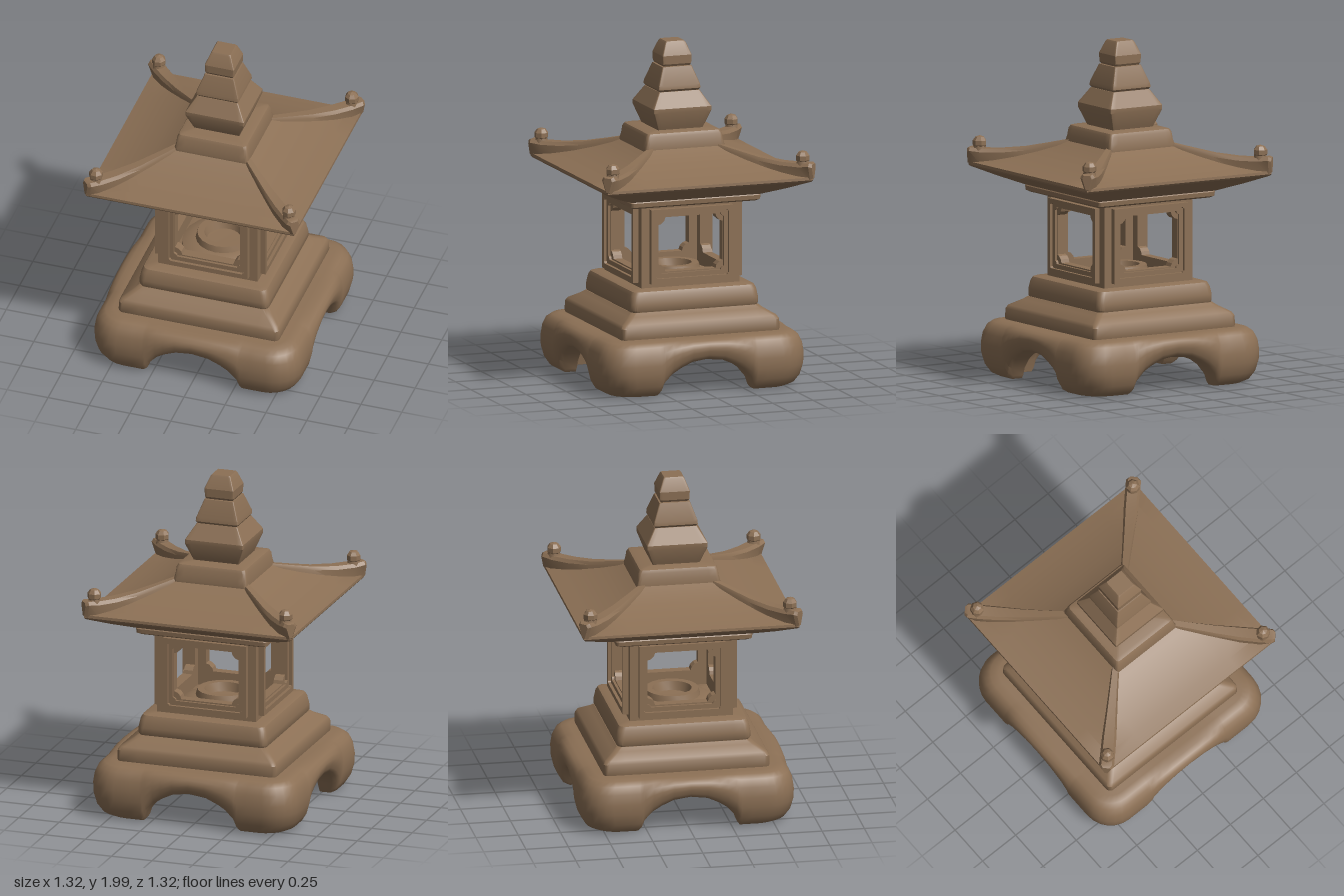
import * as THREE from 'three';
import { toCreasedNormals } from 'three/addons/utils/BufferGeometryUtils.js';

const stone = new THREE.MeshStandardMaterial({ color: 0x8c7055 });
stone.name = 'brown stone';

const SIDE = [0.36, 0.3, 0.285, 0.27, 0.22, 0.17, 0.1];
const STEPS = [...SIDE.map((s) => -s), 0, ...SIDE.slice().reverse()];
const ARC = 6;

// Rounded square ring, counter-clockwise from above
function ring(h, r, y) {
  const points = [], c = h - r, k = Math.min(1, c / 0.36);
  for (let side = 0; side < 4; side++) {
    const local = STEPS.map((s) => [s * k, h]);
    for (let i = 0; i <= ARC; i++) {
      const a = (Math.PI / 2) * (1 - i / ARC);
      local.push([c + r * Math.cos(a), c + r * Math.sin(a)]);
    }
    for (let [x, z] of local) {
      for (let n = 0; n < side; n++) [x, z] = [z, -x];
      points.push(new THREE.Vector3(x, y, z));
    }
  }
  return points;
}

// Skin a profile of [half width, height, corner radius]; bend may move points
function loft(profile, crease = 0.6, bend = null) {
  const rings = profile.map(([h, y, r = 0]) => ring(h, r, y));
  if (bend) rings.flat().forEach(bend);
  const pos = [], tri = new THREE.Triangle();
  const add = (a, b, c) => {
    tri.set(a, b, c);
    if (tri.getArea() > 1e-9) pos.push(...a.toArray(), ...b.toArray(), ...c.toArray());
  };
  for (let i = 0; i + 1 < rings.length; i++) {
    const lo = rings[i], hi = rings[i + 1], n = lo.length;
    for (let j = 0; j < n; j++) {
      const k = (j + 1) % n;
      add(lo[j], lo[k], hi[k]);
      add(lo[j], hi[k], hi[j]);
    }
  }
  const geo = new THREE.BufferGeometry();
  geo.setAttribute('position', new THREE.Float32BufferAttribute(pos, 3));
  return toCreasedNormals(geo, crease);
}

function part(name, geo, parent) {
  const mesh = new THREE.Mesh(geo, stone);
  mesh.name = name;
  parent.add(mesh);
  return mesh;
}

// Height of the arch cut between the feet
const ARCH = [[0, 0.22], [0.1, 0.205], [0.17, 0.17], [0.22, 0.135], [0.27, 0.075], [0.285, 0.03], [0.3, 0.01]];
function archHeight(s) {
  for (let i = 1; i < ARCH.length; i++) {
    const [s0, y0] = ARCH[i - 1], [s1, y1] = ARCH[i];
    if (s <= s1) return y0 + ((y1 - y0) * (s - s0)) / (s1 - s0);
  }
  return 0.01;
}

// Squeeze the base wall upward over the arch and push its lip outward
function bendArch(p) {
  const ax = Math.abs(p.x), az = Math.abs(p.z), h = Math.max(ax, az);
  const inner = h <= 0.51;
  if (inner && p.y > 0.2) return;
  const arch = archHeight(Math.min(ax, az));
  const a = inner ? Math.min(arch, 0.195) : arch;
  const top = inner ? 0.2 : 0.335;
  if (!inner && p.y < 0.2) {
    const out = Math.max(0, 0.625 - h) * 0.75 * ((a - 0.01) / 0.21);
    if (ax > az) p.x += Math.sign(p.x) * out;
    else p.z += Math.sign(p.z) * out;
  }
  p.y = a + ((p.y - 0.01) * (top - a)) / (top - 0.01);
}

// Rectangular plate with a window, spanning z0 to z1
function frame(w, y0, y1, hw, hy0, hy1, notch, z0, z1) {
  const shape = new THREE.Shape([[-w, y0], [w, y0], [w, y1], [-w, y1]].map((p) => new THREE.Vector2(...p)));
  const n = notch, m = notch * 0.45;
  const corner = [[n, 0], [n * 0.85, m], [m, n * 0.85], [0, n]];
  const hole = [];
  const put = (list, x, y, sx, sy) => list.forEach(([a, b]) => hole.push(new THREE.Vector2(x + sx * a, y + sy * b)));
  put(corner, -hw, hy0, 1, 1);
  put(corner.slice().reverse(), -hw, hy1, 1, -1);
  put(corner, hw, hy1, -1, -1);
  put(corner.slice().reverse(), hw, hy0, -1, 1);
  shape.holes.push(new THREE.Path(hole));
  return new THREE.ExtrudeGeometry(shape, { depth: z1 - z0, bevelEnabled: false }).translate(0, 0, z0);
}

// Hip ridge along +z, sections of [distance per axis, top, bottom, half width, bottom half width]
function ridgeGeometry() {
  const rows = [[0.2, 1.41, 1.33, 0.022, 0.022], [0.3, 1.38, 1.3, 0.027, 0.027], [0.4, 1.352, 1.27, 0.034, 0.034],
    [0.5, 1.337, 1.25, 0.042, 0.04], [0.58, 1.335, 1.24, 0.044, 0.035], [0.628, 1.342, 1.24, 0.044, 0.016],
    [0.64, 1.335, 1.25, 0.028, 0.008]];
  const pos = [], idx = [];
  rows.forEach(([p, top, low, w, b]) => {
    const z = p * Math.SQRT2;
    pos.push(-b, low, z, b, low, z, w, top - 0.02, z, w * 0.7, top, z, -w * 0.7, top, z, -w, top - 0.02, z);
  });
  const quad = (a, b, c, d) => idx.push(a, b, c, a, c, d);
  for (let i = 0; i + 1 < rows.length; i++) {
    for (let j = 0; j < 6; j++) {
      const k = (j + 1) % 6, a = i * 6, b = a + 6;
      quad(a + j, a + k, b + k, b + j);
    }
  }
  const e = (rows.length - 1) * 6;
  for (let j = 1; j < 5; j++) idx.push(e, e + j, e + j + 1);
  const geo = new THREE.BufferGeometry();
  geo.setAttribute('position', new THREE.Float32BufferAttribute(pos, 3));
  geo.setIndex(idx);
  return toCreasedNormals(geo, 0.5);
}

export function createModel() {
  const model = new THREE.Group();
  model.name = 'stoneLantern';

  // Hollow footed base with an arch on each side
  part('footedBase', loft([
    [0, 0.2], [0.4, 0.2, 0.04], [0.44, 0.17, 0.07], [0.47, 0.08, 0.09], [0.485, 0.01, 0.1],
    [0.55, 0.01, 0.14], [0.588, 0.03, 0.16], [0.616, 0.075, 0.17], [0.632, 0.14, 0.175],
    [0.634, 0.2, 0.175], [0.625, 0.26, 0.17], [0.605, 0.305, 0.16], [0.575, 0.328, 0.14],
    [0.53, 0.335, 0.1], [0, 0.335],
  ], 0.75, bendArch), model);

  // Stepped plinth
  part('lowerStep', loft([
    [0, 0.32], [0.485, 0.32, 0.03], [0.492, 0.345, 0.03], [0.49, 0.4, 0.03], [0.478, 0.42, 0.03],
    [0.42, 0.455, 0.03], [0.395, 0.475, 0.03], [0, 0.475],
  ]), model);
  part('upperStep', loft([
    [0, 0.465], [0.385, 0.465, 0.03], [0.397, 0.485, 0.04], [0.397, 0.52, 0.04], [0.388, 0.57, 0.04],
    [0.377, 0.592, 0.04], [0.355, 0.6, 0.03], [0, 0.6],
  ]), model);

  // Lamp chamber: four windowed walls with raised mouldings
  for (let i = 0; i < 4; i++) {
    const wall = new THREE.Group();
    wall.name = 'chamberWall';
    wall.rotation.y = (i * Math.PI) / 2;
    part('windowWall', frame(0.305, 0.59, 1.1, 0.2, 0.69, 1.012, 0.045, 0.25, 0.305), wall);
    part('outerMoulding', frame(0.255, 0.625, 1.065, 0.228, 0.655, 1.04, 0.01, 0.3, 0.338), wall);
    part('innerMoulding', frame(0.232, 0.65, 1.045, 0.203, 0.682, 1.018, 0.02, 0.3, 0.32), wall);
    model.add(wall);
  }

  // Lamp holder on the chamber floor
  const holder = [[0.245, 0.595], [0.245, 0.62], [0.2, 0.64], [0.165, 0.645], [0.155, 0.682], [0.115, 0.682],
    [0.1, 0.63], [0, 0.625]].map((p) => new THREE.Vector2(...p));
  part('lampHolder', toCreasedNormals(new THREE.LatheGeometry(holder, 20), 0.5), model);

  // Roof: collar, straight soffit, thin eave and gently hollow slopes
  part('roofCollar', loft([
    [0, 1.085], [0.385, 1.09, 0.02], [0.402, 1.1, 0.02], [0.405, 1.125, 0.02], [0.39, 1.145, 0.02], [0, 1.145],
  ]), model);
  part('roof', loft([
    [0, 1.13], [0.4, 1.13], [0.52, 1.178], [0.63, 1.228], [0.638, 1.238], [0.637, 1.254],
    [0.56, 1.27], [0.46, 1.297], [0.36, 1.332], [0.28, 1.366], [0.22, 1.4], [0, 1.4],
  ], 0.35), model);

  // Hip ridges ending in faceted knobs
  for (let i = 0; i < 4; i++) {
    const hip = new THREE.Group();
    hip.name = 'hip';
    hip.rotation.y = Math.PI / 4 + (i * Math.PI) / 2;
    part('hipRidge', ridgeGeometry(), hip);
    const z = 0.59 * Math.SQRT2;
    part('knobNeck', new THREE.CylinderGeometry(0.034, 0.04, 0.04, 8).translate(0, 1.343, z), hip);
    const knob = toCreasedNormals(new THREE.SphereGeometry(0.043, 7, 5), 0.2);
    part('knob', knob.translate(0, 1.367, z), hip);
    model.add(hip);
  }

  // Roof cap, a little deeper than wide
  part('roofCap', loft([
    [0, 1.375], [0.225, 1.375, 0.02], [0.227, 1.4, 0.02], [0.22, 1.43, 0.02], [0.215, 1.47, 0.02],
    [0.206, 1.488, 0.02], [0.185, 1.495, 0.015], [0, 1.495],
  ], 0.6, (p) => { p.z *= 1.09; }), model);

  // Three stacked finial blocks
  part('lowerFinial', loft([
    [0, 1.485], [0.135, 1.485, 0.006], [0.145, 1.51, 0.006], [0.179, 1.6, 0.006], [0.179, 1.625, 0.006],
    [0.125, 1.715, 0.006], [0, 1.72],
  ], 0.4), model);
  part('middleFinial', loft([
    [0, 1.71], [0.118, 1.712, 0.006], [0.13, 1.728, 0.006], [0.128, 1.75, 0.006], [0.09, 1.855, 0.006], [0, 1.865],
  ], 0.4), model);
  part('topFinial', loft([
    [0, 1.855], [0.08, 1.857, 0.006], [0.088, 1.87, 0.006], [0.09, 1.92, 0.006], [0.063, 1.99, 0.006],
    [0.056, 2, 0.006], [0, 2],
  ], 0.4), model);

  return model;
}
